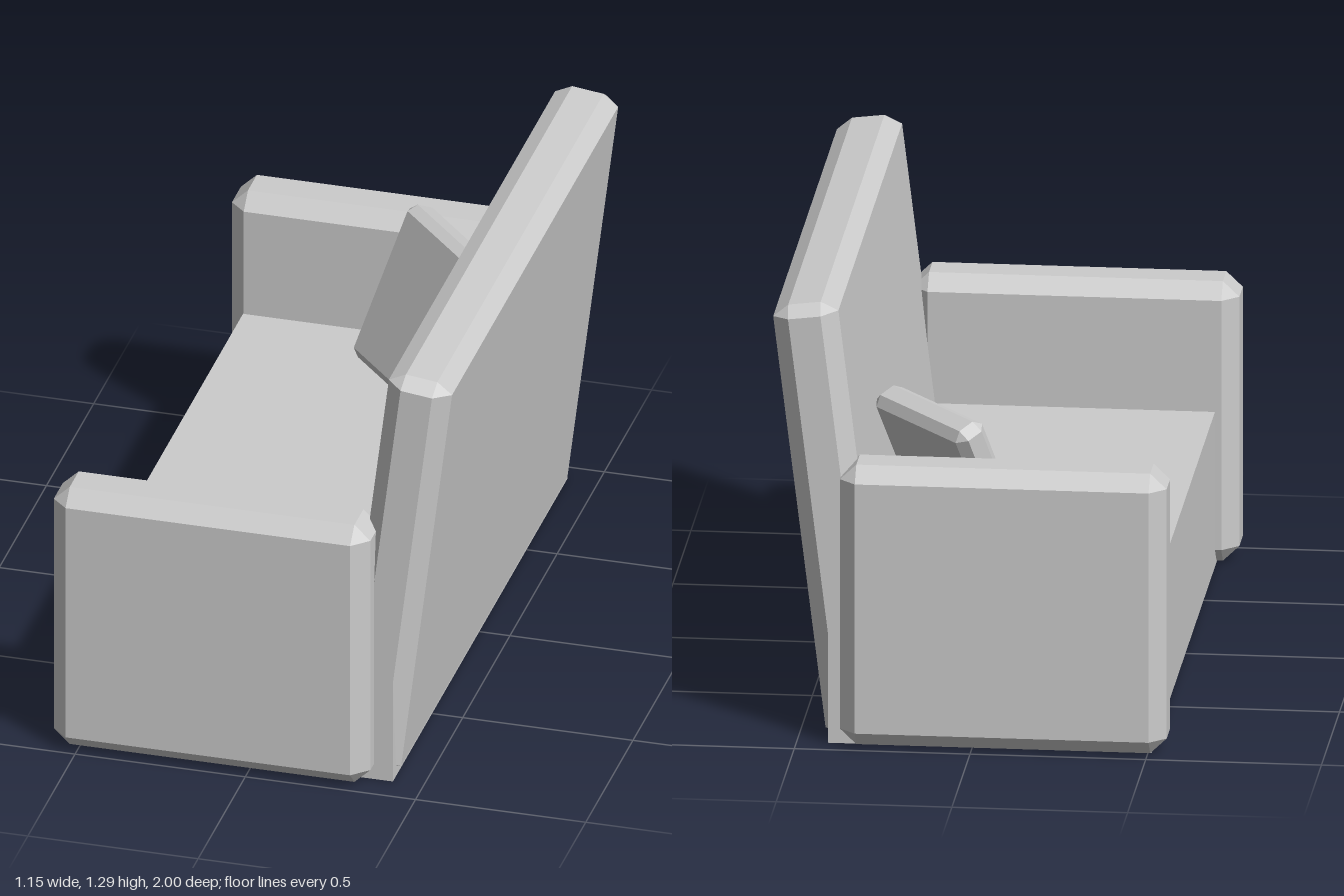
import * as THREE from 'three';
import { ConvexGeometry } from 'three/addons/geometries/ConvexGeometry.js';

const material = new THREE.MeshStandardMaterial({ color: 0xcccccc, flatShading: true });

// Box with every edge cut by a single flat bevel; bevel is given per axis.
function bevelBox(size, bevel) {
  const half = size.map((s) => s / 2);
  const points = [];
  for (const sx of [-1, 1]) for (const sy of [-1, 1]) for (const sz of [-1, 1]) {
    const sign = [sx, sy, sz];
    for (let face = 0; face < 3; face++) {
      points.push(new THREE.Vector3(
        ...sign.map((s, i) => s * (half[i] - (i === face ? 0 : bevel[i])))));
    }
  }
  return new ConvexGeometry(points);
}

function addPart(group, name, geometry, position) {
  const mesh = new THREE.Mesh(geometry, material);
  mesh.name = name;
  mesh.position.set(...position);
  group.add(mesh);
  return mesh;
}

export function createModel() {
  const sofa = new THREE.Group();
  sofa.name = 'sofa';

  // Solid seat block; the sofa opens towards -x
  addPart(sofa, 'seatBase', new THREE.BoxGeometry(0.92, 0.46, 1.85), [-0.05, 0.23, -0.01]);

  // Bevelled armrests, one slightly further back than the other
  const armGeometry = bevelBox([0.93, 0.83, 0.185], [0.047, 0.045, 0.045]);
  addPart(sofa, 'leftArmrest', armGeometry, [-0.11, 0.42, 0.9075]);
  addPart(sofa, 'rightArmrest', armGeometry, [-0.09, 0.42, -0.9075]);

  // Tilted backrest
  const backrest = addPart(sofa, 'backrest',
    bevelBox([0.187, 1.285, 1.85], [0.047, 0.03, 0.045]), [0.404, 0.651, -0.01]);
  backrest.rotation.z = -0.122;

  // Cushion leaning in the corner
  const cushion = addPart(sofa, 'cushion',
    bevelBox([0.44, 0.48, 0.1], [0.03, 0.025, 0.025]), [0.092, 0.69, -0.573]);
  cushion.rotation.set(-0.42, -0.85, 0.03, 'YXZ');

  return sofa;
}
